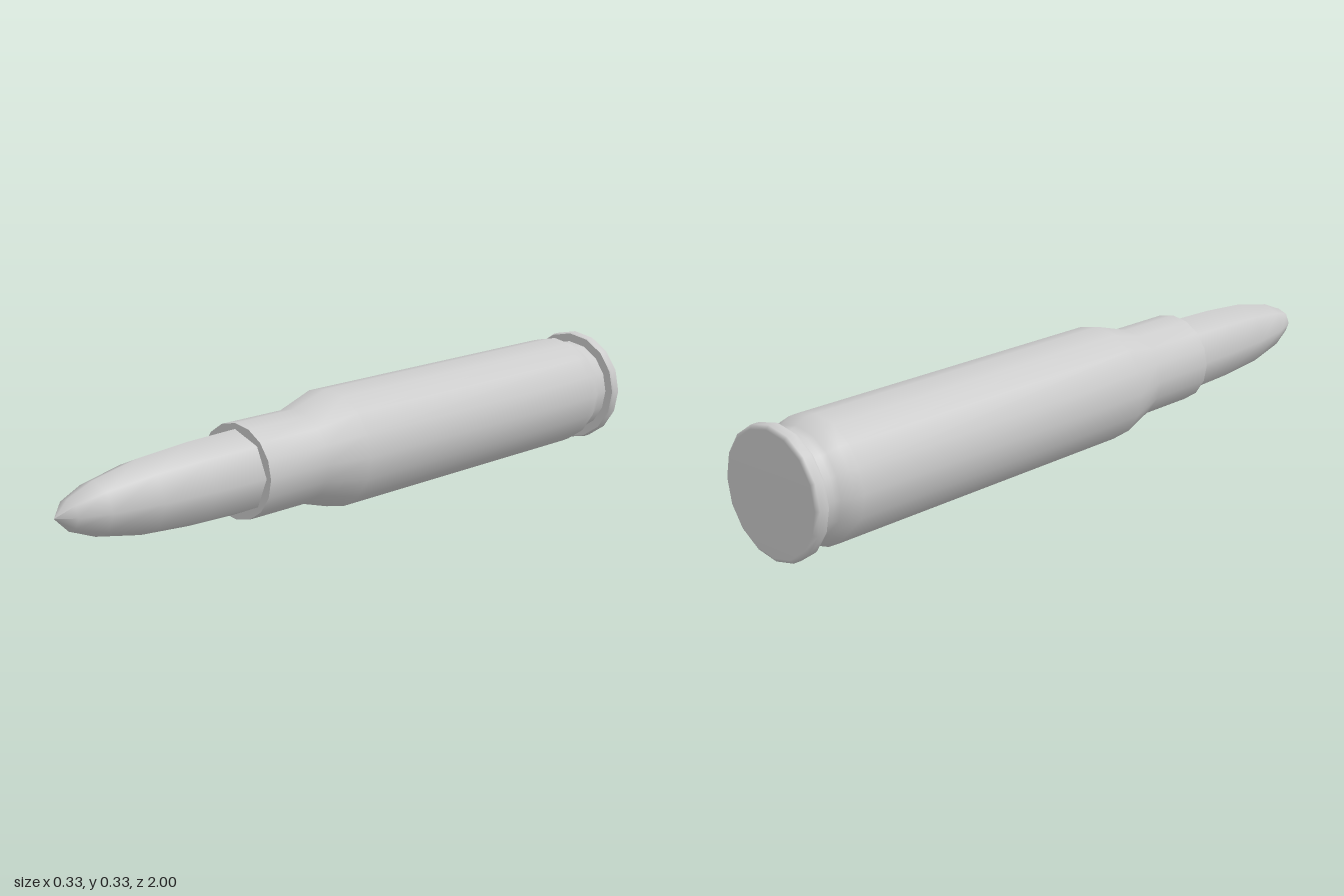
import * as THREE from 'three';

const AXIS_Y = 0.165;

// Revolve a [z, radius] profile (listed back to front) around the long axis
function turned(name, profile, sides, material) {
  const points = profile.map(([z, r]) => new THREE.Vector2(r, z));
  const geometry = new THREE.LatheGeometry(points, sides);
  geometry.rotateX(Math.PI / 2);
  const mesh = new THREE.Mesh(geometry, material);
  mesh.name = name;
  mesh.position.y = AXIS_Y;
  return mesh;
}

export function createModel() {
  const model = new THREE.Group();
  model.name = 'cartridge';
  const grey = new THREE.MeshStandardMaterial({ color: 0xcccccc });

  // Casing: each piece ends where there is a hard edge
  const casing = new THREE.Group();
  casing.name = 'casing';
  casing.add(
    turned('rimBase', [[-1, 0], [-1, 0.153], [-0.993, 0.163], [-0.971, 0.163], [-0.965, 0.16]], 16, grey),
    turned('rimFront', [[-0.965, 0.16], [-0.965, 0.136]], 16, grey),
    turned('body', [
      [-0.965, 0.136], [-0.93, 0.137], [-0.915, 0.142], [-0.888, 0.156], [-0.86, 0.157],
      [0.115, 0.157], [0.235, 0.123], [0.44, 0.123],
    ], 16, grey),
    turned('mouth', [[0.44, 0.123], [0.44, 0.09]], 16, grey),
  );

  // Pointed eight-sided projectile seated in the neck
  const projectile = turned('projectile', [
    [0.4, 0.108], [0.45, 0.108], [0.6, 0.104], [0.75, 0.093], [0.885, 0.067], [0.96, 0.038], [1, 0],
  ], 8, grey);

  model.add(casing, projectile);
  return model;
}
